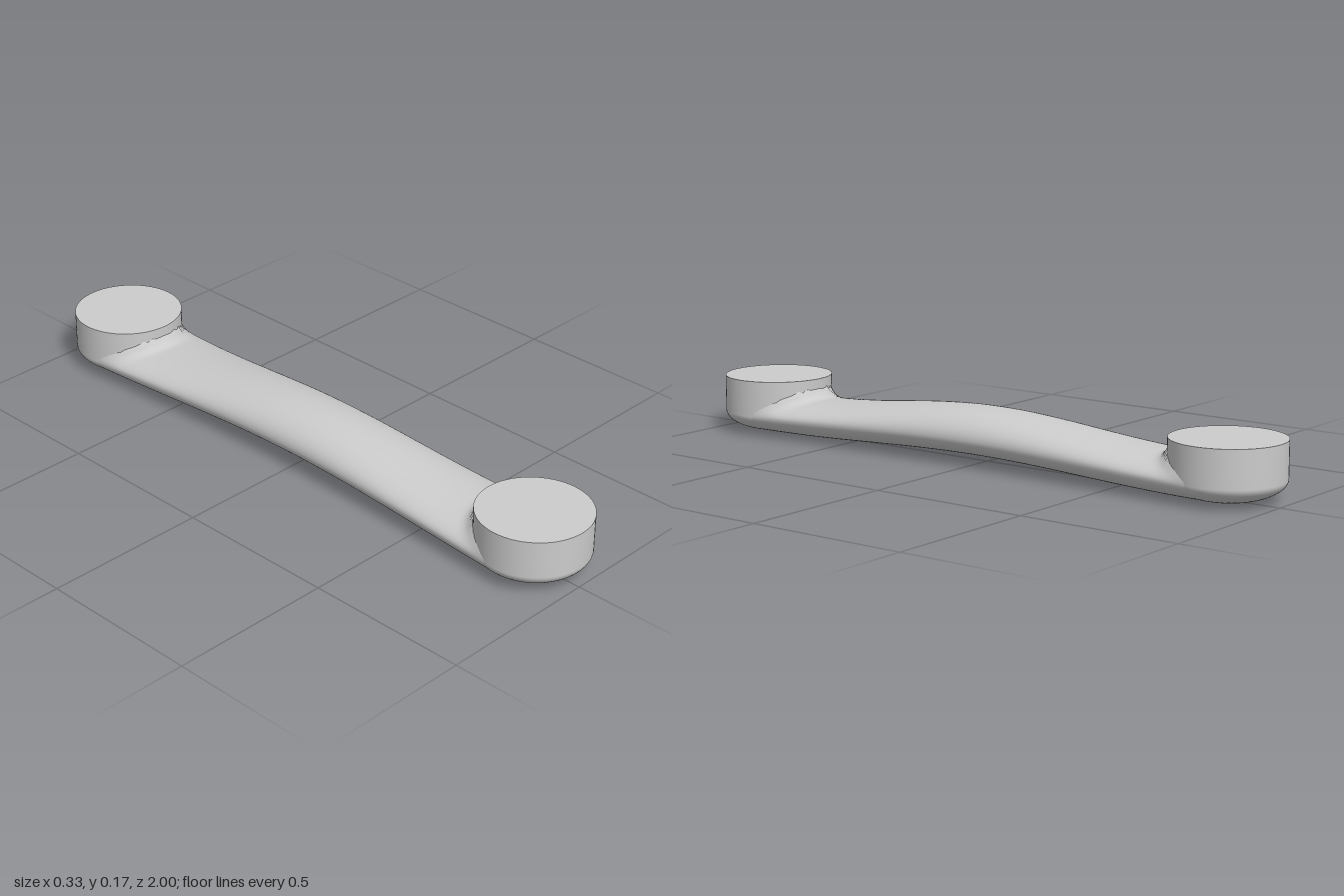
import * as THREE from 'three';

const R = 0.167, FOOT_Z = 0.833, TOP = 0.175, SHOULDER = 0.063, FILLET = 0.04;
const material = new THREE.MeshStandardMaterial({ color: 0xcccccc });

// Eases from 0 at the middle of the handle to 1 at distance `end`
const ease = (z, end) => 0.5 - 0.5 * Math.cos(Math.PI * Math.min(1, Math.abs(z) / end));

// Arched grip: oval cross-sections lofted along z, filleted up to the feet
function gripGeometry() {
  const rows = 160, sides = 64, positions = [], index = [];
  for (let i = 0; i <= rows; i++) {
    // rows crowd together toward the feet, where the fillet is
    const z = FOOT_Z * Math.sin((i / rows - 0.5) * Math.PI);
    const t = z / FOOT_Z;
    const width = 0.134 + 0.032 * t * t;
    const top = 0.165 - 0.052 * ease(z, 0.72);
    const bottom = 0.022 * (1 - ease(z, 0.75));
    const middle = 0.085 - (0.085 - SHOULDER) * ease(z, FOOT_Z);
    for (let j = 0; j < sides; j++) {
      const a = (j / sides) * Math.PI * 2;
      const c = Math.cos(a), s = Math.sin(a);
      const x = width * c;
      let y = middle + s * (s > 0 ? top - middle : middle - bottom);
      if (s > 0) {
        const gap = Math.hypot(x, FOOT_Z - Math.abs(z)) - R;
        const k = THREE.MathUtils.clamp(FILLET - gap, 0, FILLET);
        y += (FILLET - Math.sqrt(FILLET * FILLET - k * k)) * s;
      }
      positions.push(x, y, z);
      if (i < rows) {
        const p = i * sides + j, q = i * sides + (j + 1) % sides;
        index.push(p, q, p + sides, q, q + sides, p + sides);
      }
    }
  }
  const geometry = new THREE.BufferGeometry();
  geometry.setAttribute('position', new THREE.Float32BufferAttribute(positions, 3));
  geometry.setIndex(index);
  geometry.computeVertexNormals();
  return geometry;
}

// Foot: straight round wall over a shallow domed underside, with a flat mounting face
function makeFoot(name, z) {
  const profile = [];
  for (let i = 0; i <= 20; i++) {
    const a = (i / 20) * Math.PI / 2;
    profile.push(new THREE.Vector2(R * Math.sin(a), SHOULDER * (1 - Math.cos(a))));
  }
  profile.push(new THREE.Vector2(R, 0.1), new THREE.Vector2(R, TOP));
  const foot = new THREE.Group();
  foot.name = name;
  const wall = new THREE.Mesh(new THREE.LatheGeometry(profile, 64), material);
  wall.name = 'footBody';
  const face = new THREE.Mesh(new THREE.CircleGeometry(R, 64).rotateX(-Math.PI / 2), material);
  face.name = 'mountingFace';
  face.position.y = TOP;
  foot.add(wall, face);
  foot.position.z = z;
  return foot;
}

export function createModel() {
  const model = new THREE.Group();
  model.name = 'pullHandle';
  const grip = new THREE.Mesh(gripGeometry(), material);
  grip.name = 'grip';
  model.add(grip, makeFoot('frontFoot', FOOT_Z), makeFoot('backFoot', -FOOT_Z));
  return model;
}
